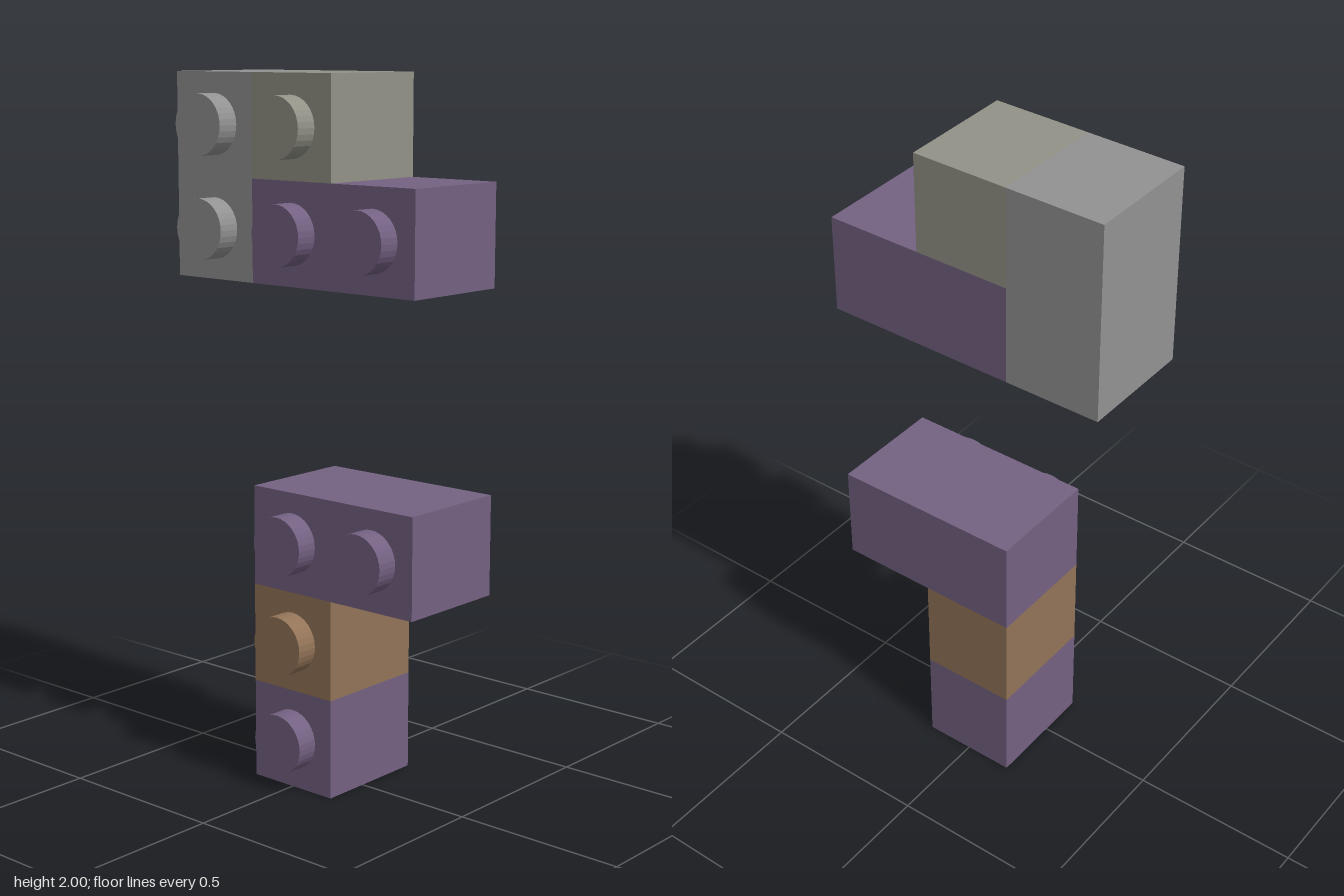
import * as THREE from 'three';

const U = 2 / 7;              // one grid cell
const BACK = -0.204, FACE = 0.139, FRONT = 0.204;

// Bricks on the grid: column and row of the lower-left corner cell, size in cells
const BRICKS = [
  { name: 'stemBottomBrick', col: 0, row: 0, w: 1, h: 1, color: 0x746182 },
  { name: 'stemMiddleBrick', col: 0, row: 1, w: 1, h: 1, color: 0x937458 },
  { name: 'stemTopBrick', col: 0, row: 2, w: 2, h: 1, color: 0x746182 },
  { name: 'upperWideBrick', col: 0, row: 5, w: 2, h: 1, color: 0x746182 },
  { name: 'upperTallBrick', col: -1, row: 5, w: 1, h: 2, color: 0x929292 },
  { name: 'upperSmallBrick', col: 0, row: 6, w: 1, h: 1, color: 0x929287 },
];

function makeBrick({ name, col, row, w, h, color }) {
  const brick = new THREE.Group();
  brick.name = name;
  const material = new THREE.MeshStandardMaterial({ color, flatShading: true });

  // Solid block
  const body = new THREE.Mesh(new THREE.BoxGeometry(w * U, h * U, FACE - BACK), material);
  body.name = 'body';
  body.position.set((col + (w - 1) / 2) * U, (row + h / 2) * U, (FACE + BACK) / 2);
  brick.add(body);

  // One round stud on the front of each cell
  const studGeometry = new THREE.CylinderGeometry(0.085, 0.085, FRONT - FACE, 32);
  studGeometry.rotateX(Math.PI / 2);
  for (let i = 0; i < w; i++) {
    for (let j = 0; j < h; j++) {
      const stud = new THREE.Mesh(studGeometry, material);
      stud.name = 'stud';
      stud.position.set((col + i) * U, (row + j + 0.5) * U, (FACE + FRONT) / 2);
      brick.add(stud);
    }
  }
  return brick;
}

export function createModel() {
  const model = new THREE.Group();
  model.name = 'studdedBricks';
  for (const spec of BRICKS) model.add(makeBrick(spec));
  return model;
}
